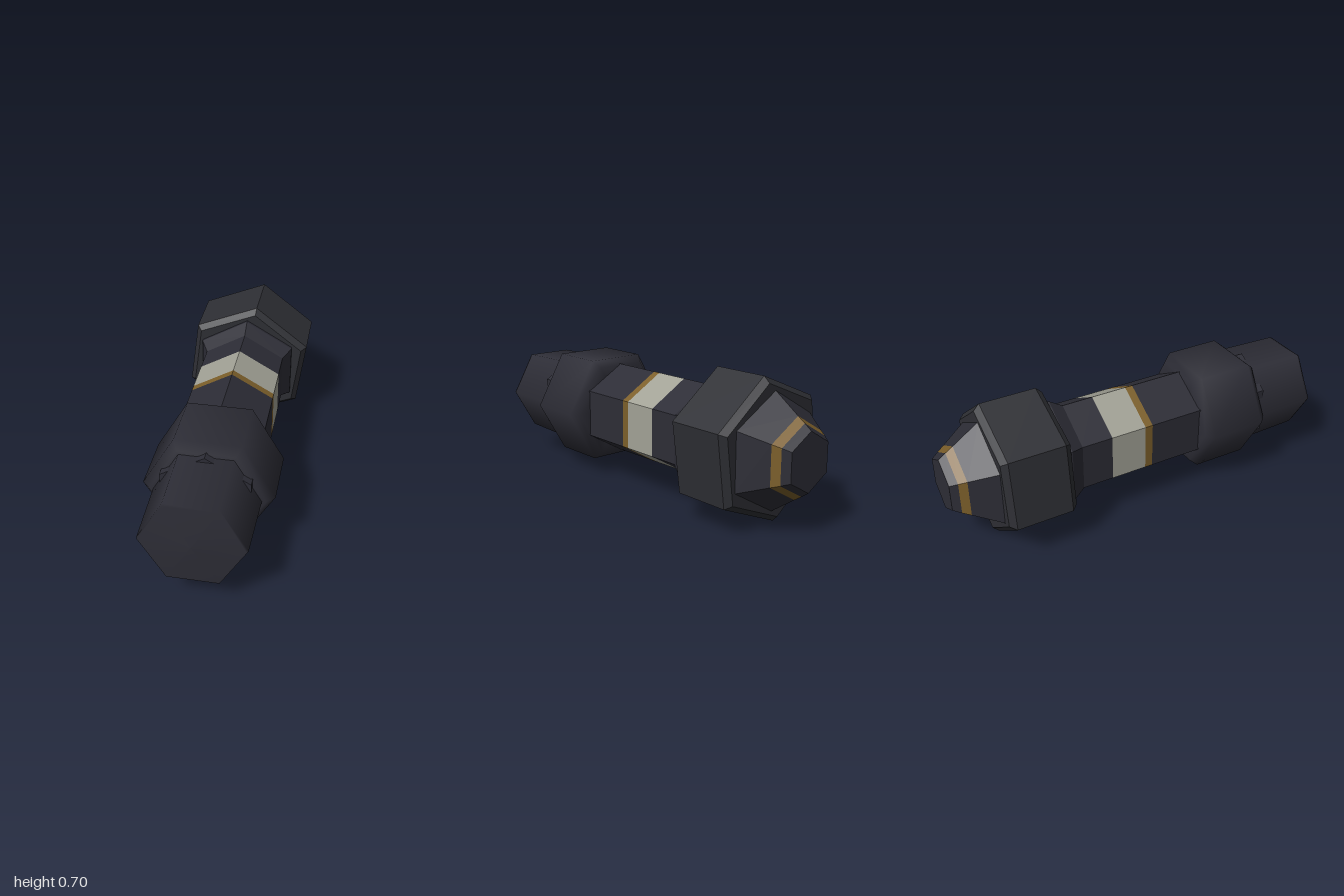
import * as THREE from 'three';

const AXIS_Y = 0.348;

export function createModel() {
  const group = new THREE.Group();
  const material = (name, color) => {
    const m = new THREE.MeshStandardMaterial({ color });
    m.name = name;
    return m;
  };
  const dark = material('dark casing', 0x2d2d36);
  const steel = material('dark nut', 0x2e2f34);
  const pale = material('pale band', 0xa2a296);
  const gold = material('gold band', 0x7c5f2a);

  // Six-sided part along z; profile is [radius, z] from back to front.
  // At turn 0 a corner points straight up.
  function hexPart(name, mat, profile, turn = 0, smooth = false) {
    let geo = new THREE.LatheGeometry(profile.map(([r, z]) => new THREE.Vector2(r, z)), 6);
    geo.rotateX(Math.PI / 2);
    geo.rotateZ(THREE.MathUtils.degToRad(turn));
    if (!smooth) {
      geo = geo.toNonIndexed();
      geo.computeVertexNormals();
    }
    const mesh = new THREE.Mesh(geo, mat);
    mesh.name = name;
    mesh.position.y = AXIS_Y;
    group.add(mesh);
  }

  // Tapered tail with a gold band
  hexPart('tailTip', dark, [[0, -1], [0.14, -1], [0.167, -0.963]]);
  hexPart('tailBand', gold, [[0.167, -0.963], [0.192, -0.925]]);
  hexPart('tailCone', dark, [[0.192, -0.925], [0.285, -0.79]]);

  // Large chamfered nut, turned slightly
  hexPart('nut', steel, [
    [0, -0.795], [0.322, -0.795], [0.352, -0.765],
    [0.352, -0.48], [0.322, -0.45], [0, -0.45],
  ], -7.5);

  // Flared neck and tube with its bands
  hexPart('neck', dark, [[0.285, -0.46], [0.285, -0.435], [0.24, -0.365]]);
  hexPart('rearTube', dark, [[0.24, -0.37], [0.24, -0.205]]);
  hexPart('paleBand', pale, [[0.24, -0.205], [0.24, -0.02]]);
  hexPart('goldBand', gold, [[0.24, -0.02], [0.24, 0.02]]);
  hexPart('frontTube', dark, [[0.24, 0.02], [0.24, 0.695], [0, 0.695]]);

  // Soft-shaded collar and domed end cap
  hexPart('collar', dark, [
    [0.2, 0.295], [0.27, 0.295], [0.309, 0.335],
    [0.309, 0.62], [0.27, 0.66], [0.2, 0.66],
  ], 30, true);
  hexPart('endCap', dark, [
    [0.252, 0.64], [0.243, 0.975], [0.238, 0.988], [0, 1],
  ], 30, true);

  return group;
}
